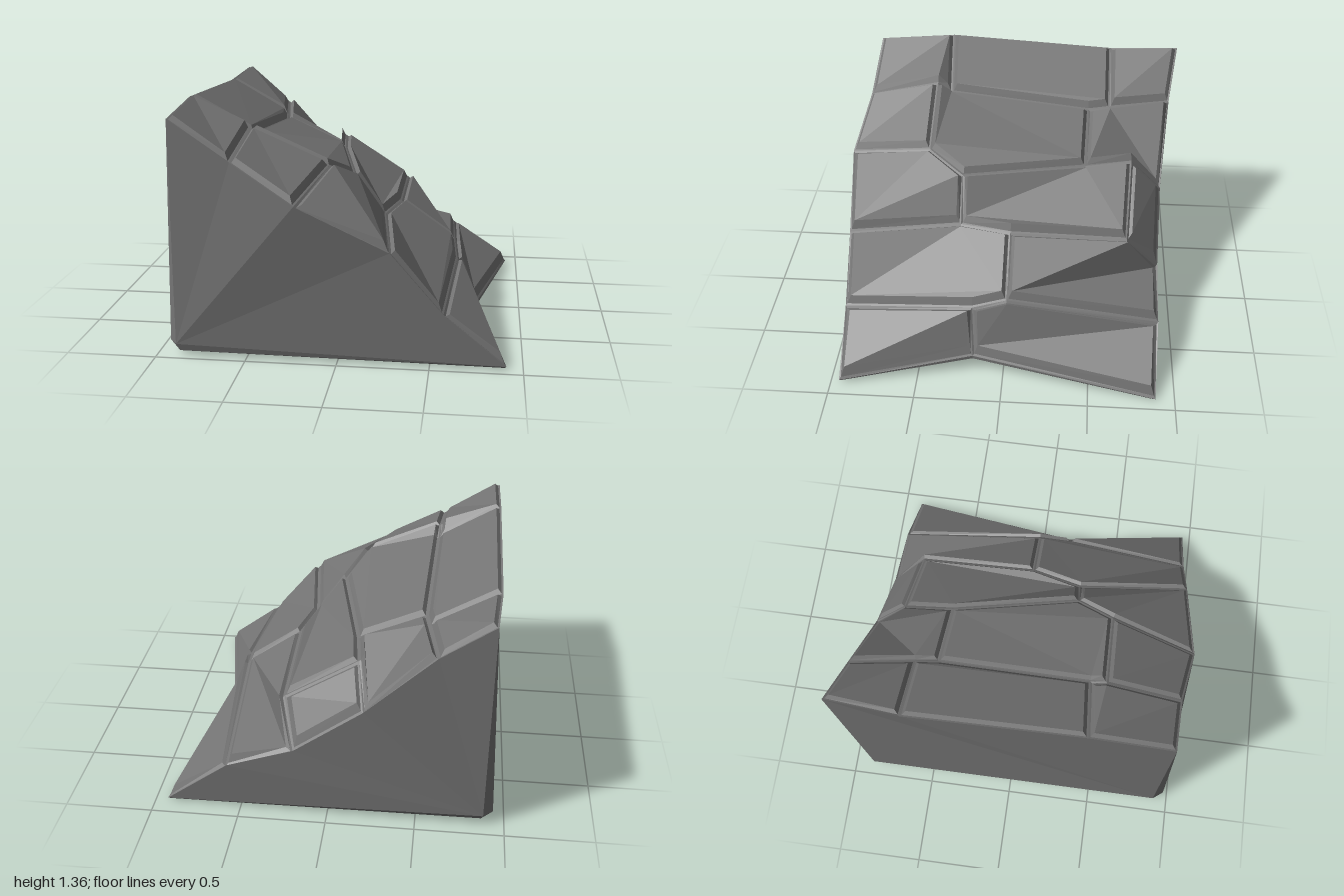
import * as THREE from 'three';

// Corners shared by the paving stones, row by row down the slope, front to back
const CORNERS = [
  [-0.91, 1.34, 0.9], [-0.91, 1.38, 0.43], [-0.91, 1.32, -0.58], [-0.88, 1.35, -1.0],
  [-0.57, 1.12, 0.93], [-0.55, 1.22, 0.5], [-0.54, 1.17, 0.41], [-0.53, 1.1, -0.58],
  [-0.51, 1.09, -0.45], [-0.59, 1.12, -0.95],
  [-0.22, 0.91, 1.0], [-0.1, 1.02, 0.5], [0.02, 0.92, 0.29], [-0.13, 0.92, -0.44],
  [-0.16, 0.94, -0.72], [-0.2, 0.73, -0.91],
  [0.28, 0.66, 0.95], [0.2, 0.69, 0.29], [0.27, 0.69, -0.01], [0.26, 0.67, -0.7], [0.19, 0.44, -0.9],
  [0.57, 0.33, 0.95], [0.62, 0.4, 0.19], [0.6, 0.45, -0.01], [0.57, 0.31, -0.9],
  [0.91, 0.05, 0.95], [0.75, 0.14, 0.18], [0.93, 0.04, -0.89],
].map((c) => new THREE.Vector3(...c));

// Each stone lists its corners
const STONES = [
  [0, 1, 6, 5, 4], [1, 2, 7, 8, 6], [2, 3, 9, 7],
  [4, 5, 11, 10], [5, 6, 8, 13, 12, 11], [8, 7, 9, 15, 14, 13],
  [10, 11, 12, 17, 16], [12, 13, 14, 19, 18, 17], [14, 15, 20, 19],
  [16, 17, 18, 23, 22, 21], [18, 19, 20, 24, 23],
  [21, 22, 26, 25], [22, 23, 24, 27, 26],
];

const GROOVE = 0.03;
const low = (i) => CORNERS[i].clone().setY(CORNERS[i].y - GROOVE);

// Flat-shaded geometry from triangles, each turned by the facing test
function facetGeometry(triangles, facesOut) {
  const points = [];
  for (const [a, b, c] of triangles) {
    const n = b.clone().sub(a).cross(c.clone().sub(a));
    const centre = a.clone().add(b).add(c).divideScalar(3);
    points.push(...(facesOut(n, centre) ? [a, b, c] : [a, c, b]));
  }
  const geometry = new THREE.BufferGeometry().setFromPoints(points);
  geometry.computeVertexNormals();
  return geometry;
}

// Mitred inset of a loop seen from above, keeping to the tilt of the stone
function insetLoop(loop, d, drop) {
  const n = new THREE.Vector3();
  loop.forEach((p, i) => n.add(p.clone().cross(loop[(i + 1) % loop.length])));
  return loop.map((p, i) => {
    const prev = loop[(i + loop.length - 1) % loop.length];
    const next = loop[(i + 1) % loop.length];
    const e = p.clone().sub(prev).setY(0).normalize();
    const f = next.clone().sub(p).setY(0).normalize();
    const k = d / Math.max(0.3, 1 + e.dot(f));
    const dx = (e.z + f.z) * k;
    const dz = -(e.x + f.x) * k;
    return new THREE.Vector3(p.x + dx, p.y - (n.x * dx + n.z * dz) / n.y - drop, p.z + dz);
  });
}

// Bevelled stone: seam edge, groove floor, bevel and top face
function stoneGeometry(ids) {
  const corners = ids.map((i) => CORNERS[i]).reverse();
  const rings = [
    corners.map((p) => p.clone().setY(p.y - GROOVE)),
    insetLoop(corners, 0.01, GROOVE),
    insetLoop(corners, 0.03, 0),
  ];
  const tris = [];
  for (let r = 0; r < 2; r++) {
    const a = rings[r], b = rings[r + 1];
    a.forEach((p, i) => {
      const j = (i + 1) % a.length;
      tris.push([p, a[j], b[j]], [p, b[j], b[i]]);
    });
  }
  const top = rings[2];
  const flat = top.map((p) => new THREE.Vector2(p.x, -p.z));
  for (const t of THREE.ShapeUtils.triangulateShape(flat, [])) tris.push(t.map((i) => top[i]));
  return facetGeometry(tris, (n) => n.y > 0);
}

// Wedge under the stones: walls, chamfered edges and underside
function bodyGeometry() {
  const V = (x, y, z) => new THREE.Vector3(x, y, z);
  const front = V(-0.89, 0.07, 0.97), back = V(-0.88, 0.07, -0.93);
  const leftFront = V(-0.935, 0.07, 0.91), leftBack = V(-0.935, 0.07, -0.88);
  const baseFront = V(-0.87, 0.03, 0.96), baseBack = V(-0.87, 0.03, -0.9);
  const tipFront = V(0.9, 0.01, 0.94), tipMid = V(0.75, 0.09, 0.18), tipBack = V(0.92, 0, -0.88);
  const tris = [];
  const fan = (...p) => {
    for (let i = 1; i < p.length - 1; i++) tris.push([p[0], p[i], p[i + 1]]);
  };
  fan(front, ...[25, 21, 16, 10, 4, 0].map(low));
  fan(back, ...[27, 24, 20, 15, 9, 3].map(low));
  fan(leftFront, ...[0, 1, 2, 3].map(low), leftBack);
  fan(front, low(0), leftFront);
  fan(back, low(3), leftBack);
  fan(baseFront, front, low(25), tipFront);
  fan(baseBack, back, low(27), tipBack);
  fan(baseFront, front, leftFront);
  fan(baseBack, back, leftBack);
  fan(baseFront, leftFront, leftBack, baseBack);
  fan(tipFront, low(25), low(26), tipMid);
  fan(tipMid, low(26), low(27), tipBack);
  fan(tipMid, tipFront, baseFront, baseBack, tipBack);
  const inside = V(-0.3, 0.35, 0);
  return facetGeometry(tris, (n, c) => n.dot(c.sub(inside)) > 0);
}

export function createModel() {
  const group = new THREE.Group();
  group.name = 'stoneRamp';
  const stone = new THREE.MeshStandardMaterial({ color: 0x747474 });
  stone.name = 'grey stone';

  const body = new THREE.Mesh(bodyGeometry(), stone);
  body.name = 'rampBody';
  group.add(body);

  const paving = new THREE.Group();
  paving.name = 'pavingStones';
  STONES.forEach((ids, i) => {
    const mesh = new THREE.Mesh(stoneGeometry(ids), stone);
    mesh.name = `pavingStone${i + 1}`;
    paving.add(mesh);
  });
  group.add(paving);
  return group;
}
